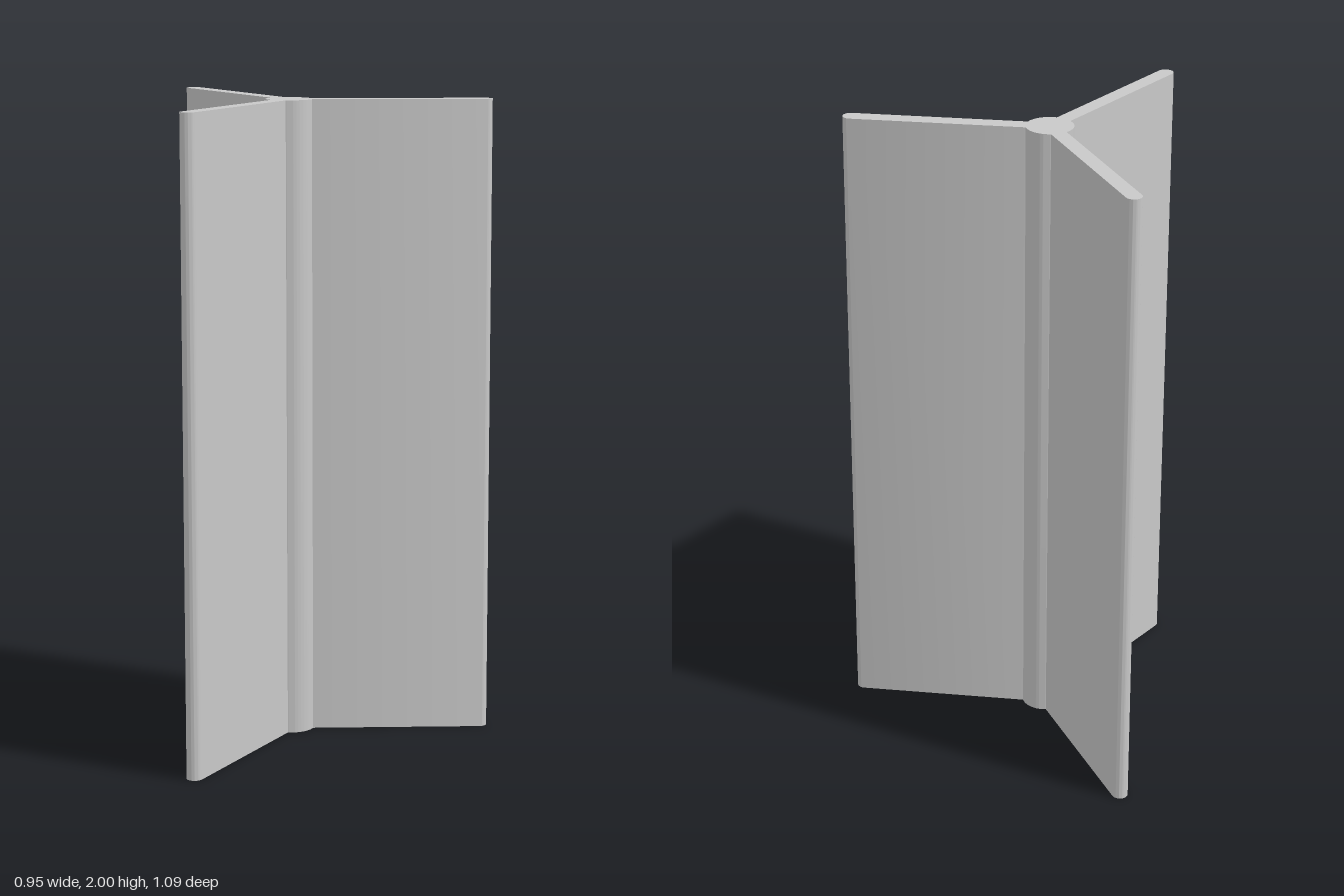
import * as THREE from 'three';
import { toCreasedNormals } from 'three/addons/utils/BufferGeometryUtils.js';

const HEIGHT = 2;
const HUB_X = -0.15, HUB_RADIUS = 0.073;
const FIN_REACH = 0.6, FIN_HALF = 0.025; // distance to the tip centre, half thickness

export function createModel() {
  const group = new THREE.Group();
  const grey = new THREE.MeshStandardMaterial({ color: 0xc8c8c8 });
  grey.name = 'plain grey';

  // Outline of three round-tipped fins joined by arcs of the hub
  const outline = new THREE.Shape();
  const step = (Math.PI * 2) / 3;
  const root = Math.asin(FIN_HALF / HUB_RADIUS);
  for (let i = 0; i < 3; i++) {
    const a = i * step;
    outline.absarc(FIN_REACH * Math.cos(a), FIN_REACH * Math.sin(a), FIN_HALF,
      a - Math.PI / 2, a + Math.PI / 2, false);
    outline.absarc(0, 0, HUB_RADIUS, a + root, a + step - root, false);
  }

  // Extruded upright, with sharp fin roots and smooth round tips
  const extruded = new THREE.ExtrudeGeometry(outline, {
    depth: HEIGHT, bevelEnabled: false, curveSegments: 32,
  });
  extruded.rotateX(-Math.PI / 2);
  const profile = new THREE.Mesh(toCreasedNormals(extruded, 0.5), grey);
  profile.name = 'threeFinProfile';
  profile.position.x = HUB_X;
  group.add(profile);
  return group;
}
